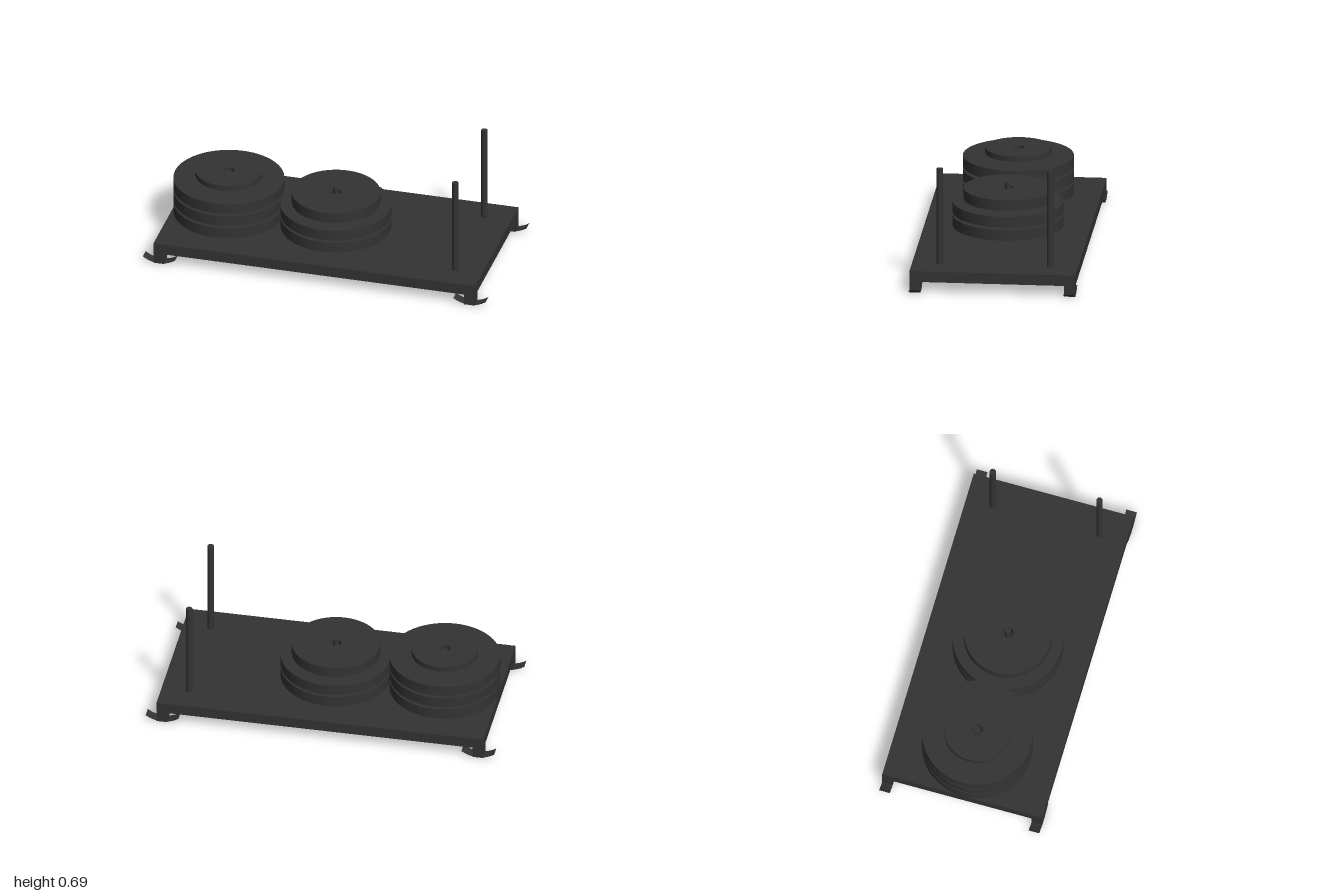
import * as THREE from 'three';

const dark = new THREE.MeshStandardMaterial({ color: 0x333333 });
const darkThin = new THREE.MeshStandardMaterial({ color: 0x333333, side: THREE.DoubleSide });

function add(parent, name, geometry, x, y, z, material = dark) {
  const mesh = new THREE.Mesh(geometry, material);
  mesh.name = name;
  mesh.position.set(x, y, z);
  parent.add(mesh);
  return mesh;
}

// Flat disc with a central hole, its underside at y = 0
function discGeometry(radius, height, hole = 0.031) {
  const shape = new THREE.Shape().absarc(0, 0, radius, 0, Math.PI * 2);
  shape.holes.push(new THREE.Path().absarc(0, 0, hole, 0, Math.PI * 2, true));
  return new THREE.ExtrudeGeometry(shape, { depth: height, bevelEnabled: false, curveSegments: 32 })
    .rotateX(-Math.PI / 2);
}

// Upright rod standing at y = 0
const rodGeometry = (height) =>
  new THREE.CylinderGeometry(0.018, 0.018, height, 24).translate(0, height / 2, 0);

// Thin curved runner, lowest in the middle
function runnerGeometry() {
  const half = 0.094;
  const geometry = new THREE.PlaneGeometry(half * 2, 0.0625, 10, 1).rotateX(-Math.PI / 2);
  const p = geometry.attributes.position;
  for (let i = 0; i < p.count; i++) p.setY(i, 0.031 * (p.getX(i) / half) ** 2);
  geometry.computeVertexNormals();
  return geometry;
}

export function createModel() {
  const model = new THREE.Group();
  model.name = 'platformWithDiscs';
  const top = 0.125;

  add(model, 'platform', new THREE.BoxGeometry(1.875, 0.0625, 0.9375), 0, 0.09375, 0);

  // Disc stacks: each disc is [radius, underside, height]
  const stacks = [
    { name: 'rightStack', x: -0.625, discs: [[0.3125, 0.125, 0.0625], [0.3125, 0.203, 0.0625], [0.3125, 0.281, 0.0625], [0.1875, 0.359, 0.031]] },
    { name: 'middleStack', x: 0, discs: [[0.3125, 0.125, 0.0625], [0.3125, 0.203, 0.0625], [0.25, 0.281, 0.0625]] },
  ];
  for (const { name, x, discs } of stacks) {
    const stack = new THREE.Group();
    stack.name = name;
    stack.position.x = x;
    for (const [radius, y, height] of discs) add(stack, 'disc', discGeometry(radius, height), 0, y, 0);
    add(stack, 'spindle', rodGeometry(0.25), 0, top, 0);
    model.add(stack);
  }

  for (const sz of [-1, 1]) {
    // Tall posts near the left end
    add(model, 'post', rodGeometry(0.5625), 0.781, top, sz * 0.3125);
    // Feet at the corners, each with a curved runner
    for (const sx of [-1, 1]) {
      const foot = new THREE.Group();
      foot.name = 'foot';
      foot.position.set(sx * 0.906, 0, sz * 0.4375);
      add(foot, 'footBlock', new THREE.BoxGeometry(0.0625, 0.0625, 0.0625), 0, 0.03125, 0);
      add(foot, 'runner', runnerGeometry(), 0, 0, 0, darkThin);
      model.add(foot);
    }
  }
  return model;
}
